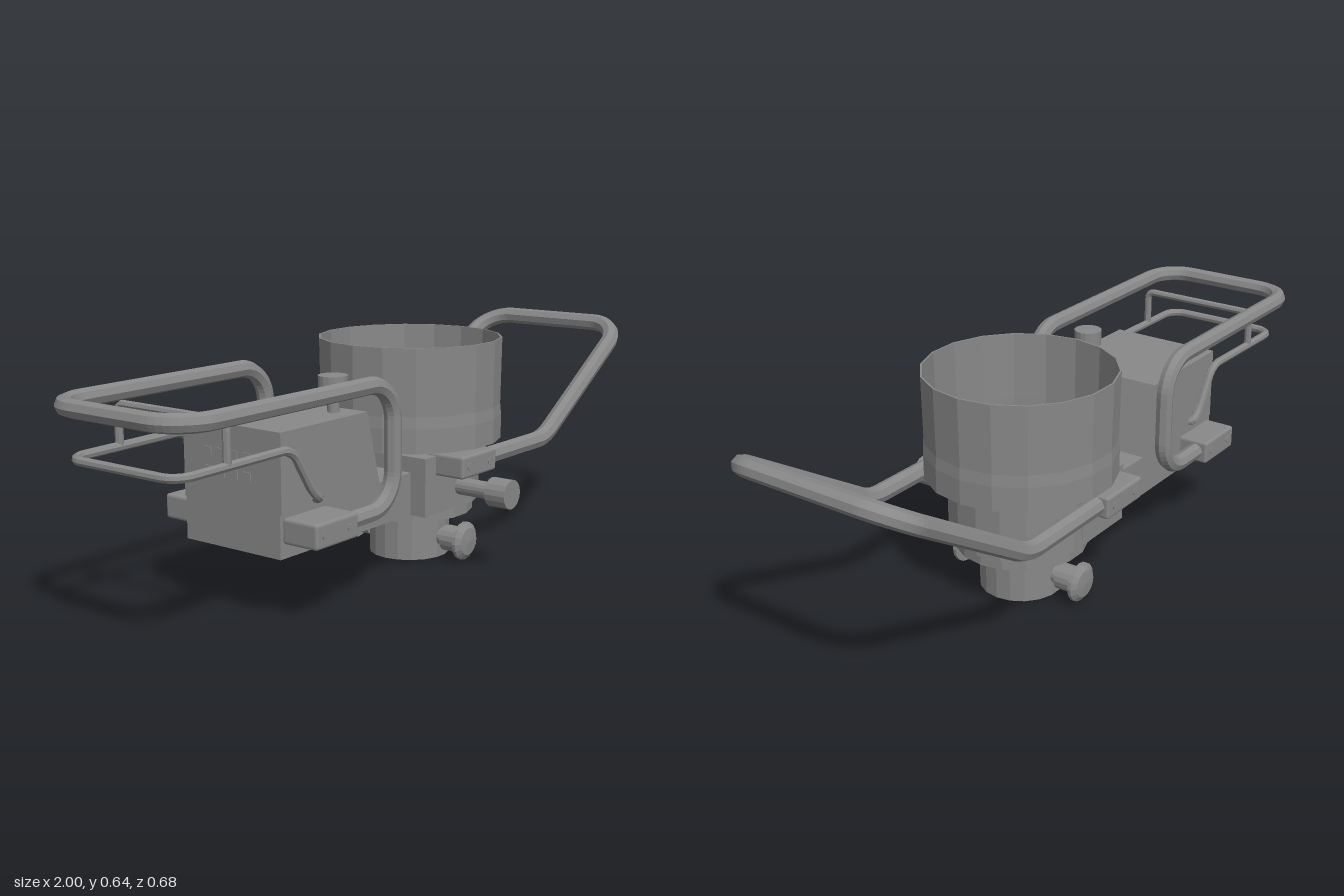
import * as THREE from 'three';
import { RoundedBoxGeometry } from 'three/addons/geometries/RoundedBoxGeometry.js';

const CX = 0.167; // drum axis x
const CZ = -0.041; // middle plane z
const mat = new THREE.MeshStandardMaterial({ color: 0x888888, flatShading: true, side: THREE.DoubleSide });

export function createModel() {
  const root = new THREE.Group();

  const add = (name, geo, x = 0, y = 0, z = 0) => {
    const m = new THREE.Mesh(geo, mat);
    m.name = name;
    m.position.set(x, y, z);
    root.add(m);
    return m;
  };
  // box from min/max ranges, with optional rounded edges
  const box = (name, x0, x1, y0, y1, z0, z1, round = 0) => {
    const size = [x1 - x0, y1 - y0, z1 - z0];
    const geo = round ? new RoundedBoxGeometry(...size, 2, round) : new THREE.BoxGeometry(...size);
    return add(name, geo, (x0 + x1) / 2, (y0 + y1) / 2, (z0 + z1) / 2);
  };
  // revolved profile of [radius, height] pairs
  const lathe = (name, pts, sides, x, y, z) =>
    add(name, new THREE.LatheGeometry(pts.map(p => new THREE.Vector2(p[0], p[1])), sides, Math.PI / 2), x, y, z);
  // tube along a polyline; each point may carry its own corner radius as fourth value
  const rail = (name, pts, radius, segments) => {
    const p = pts.map(a => new THREE.Vector3(a[0], a[1], a[2]));
    const path = new THREE.CurvePath();
    let last = p[0];
    for (let i = 1; i < p.length - 1; i++) {
      const toward = q => p[i].clone().add(
        q.clone().sub(p[i]).setLength(Math.min(pts[i][3], q.distanceTo(p[i]) * 0.49)));
      const a = toward(p[i - 1]), b = toward(p[i + 1]);
      path.add(new THREE.LineCurve3(last, a));
      path.add(new THREE.CubicBezierCurve3(a, a.clone().lerp(p[i], 0.55), b.clone().lerp(p[i], 0.55), b));
      last = b;
    }
    path.add(new THREE.LineCurve3(last, p[p.length - 1]));
    return add(name, new THREE.TubeGeometry(path, segments, radius, 8));
  };
  // half path (at +z offset) mirrored over the middle plane into a full U
  const mirrored = half => [
    ...half.map(([x, y, z, r]) => [x, y, CZ + z, r]),
    ...half.slice().reverse().map(([x, y, z, r]) => [x, y, CZ - z, r]),
  ];

  // Column: post, step, collar and neck
  lathe('post', [[0, 0], [0.119, 0], [0.119, 0.14]], 18, CX, 0, CZ);
  lathe('step', [[0, 0.134], [0.187, 0.134], [0.187, 0.172]], 18, CX, 0, CZ);
  lathe('collar', [[0, 0.171], [0.205, 0.171], [0.205, 0.341], [0, 0.341]], 18, CX, 0, CZ);
  box('collarBlock', -0.035, CX, 0.173, 0.34, CZ - 0.203, CZ + 0.203);
  lathe('neck', [[0.17, 0.34], [0.17, 0.36]], 18, CX, 0, CZ);

  // Hollow drum, open at the top
  lathe('drum', [[0, 0.35], [0.268, 0.35], [0.268, 0.42], [0.265, 0.453], [0.268, 0.645],
    [0.263, 0.645], [0.26, 0.453], [0.26, 0.375], [0, 0.375]], 18, CX, 0, CZ);

  // Arm and power box with a sloped end
  box('arm', -0.58, 0, 0.174, 0.295, -0.215, 0.112);
  const side = new THREE.Shape();
  [[-0.583, 0.29], [-0.185, 0.29], [-0.24, 0.5], [-0.583, 0.5]].forEach(([x, y], i) =>
    i ? side.lineTo(x, y) : side.moveTo(x, y));
  add('powerBox', new THREE.ExtrudeGeometry(side, { depth: 0.335, bevelEnabled: false }), 0, 0, -0.215);
  for (let i = 0; i < 4; i++)
    for (let j = 0; j < 2; j++)
      box('connector', -0.586, -0.576, 0.36 + j * 0.05, 0.385 + j * 0.05, -0.14 + i * 0.045, -0.115 + i * 0.045);

  // Knob on the power box
  lathe('topKnob', [[0.016, 0.49], [0.016, 0.555], [0.04, 0.555], [0.04, 0.598], [0, 0.6]], 16, -0.295, 0, 0.05);

  // Parts on both sides
  for (const s of [1, -1]) {
    // Rail clamps with bolts
    const clamp = (name, x0, x1, y0, y1, near, far) => {
      const z = [CZ + s * near, CZ + s * far].sort((a, b) => a - b);
      box(name, x0, x1, y0, y1, z[0], z[1], 0.008);
      for (const t of [0.2, 0.8]) {
        const bolt = add('clampBolt', new THREE.CylinderGeometry(0.011, 0.011, 0.01, 8),
          x0 + (x1 - x0) * t, (y0 + y1) / 2, CZ + s * (far - 0.003));
        bolt.rotation.x = Math.PI / 2;
      }
    };
    clamp('drumClamp', 0.015, 0.184, 0.284, 0.348, 0.17, 0.294);
    clamp('armClamp', -0.57, -0.405, 0.213, 0.28, 0.15, 0.263);

    // Locking knobs on the post
    const lock = lathe('postKnob', [[0.025, 0.1], [0.025, 0.135], [0.038, 0.135], [0.038, 0.193], [0.056, 0.193],
      [0.056, 0.203], [0.04, 0.215], [0, 0.219]], 16, CX, 0.06, CZ);
    lock.rotation.x = s * Math.PI / 2;
  }

  // Clamping screw at the front of the collar
  const screw = lathe('collarScrew', [[0.025, 0.15], [0.025, 0.272], [0.042, 0.272], [0.042, 0.338], [0, 0.338]],
    16, 0.135, 0.232, 0);
  screw.rotation.x = Math.PI / 2;

  // Handles
  rail('raisedHandle', mirrored([[0.03, 0.318, 0.257], [0.5, 0.318, 0.257, 0.04], [0.974, 0.615, 0.257, 0.1]]),
    0.026, 200);
  rail('loopHandle', mirrored([[-0.56, 0.248, 0.225], [-0.212, 0.248, 0.225, 0.1], [-0.212, 0.585, 0.225, 0.1],
    [-0.976, 0.585, 0.225, 0.1]]), 0.024, 200);

  // Wire rack below the loop handle and its hanger
  rail('wireRack', mirrored([[-0.455, 0.31, 0.14], [-0.455, 0.31, 0.183, 0.02], [-0.49, 0.335, 0.183, 0.02],
    [-0.567, 0.46, 0.183, 0.035], [-0.955, 0.455, 0.183, 0.05]]), 0.012, 200);
  rail('rackHanger', mirrored([[-0.792, 0.457, 0.183], [-0.792, 0.565, 0.183, 0.02]]), 0.011, 60);

  return root;
}
